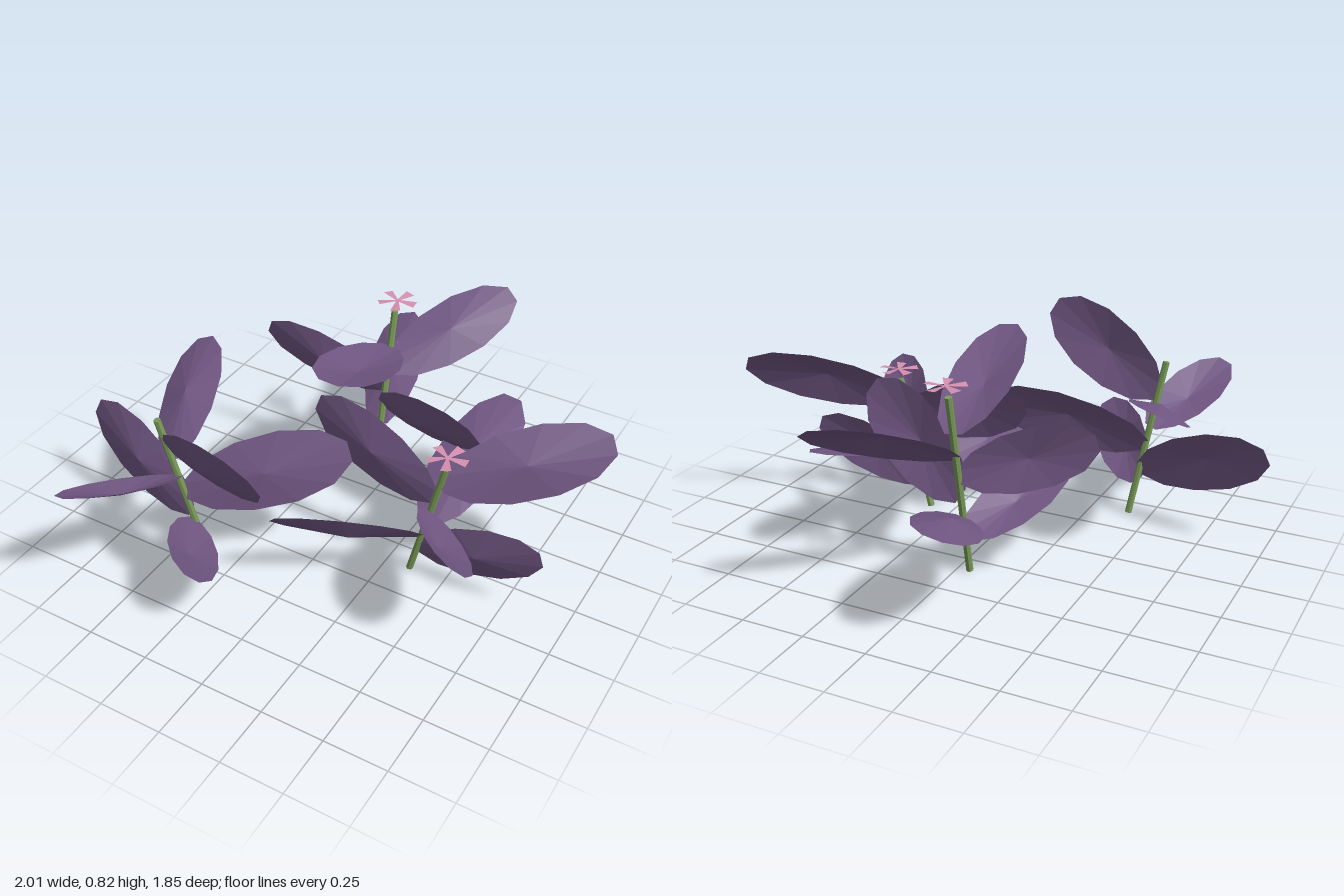
import * as THREE from 'three';

const leafMat = new THREE.MeshStandardMaterial({ color: 0x715783, flatShading: true, side: THREE.DoubleSide });
const stemMat = new THREE.MeshStandardMaterial({ color: 0x7a9c58, flatShading: true });
const petalMat = new THREE.MeshStandardMaterial({ color: 0xd690b0, flatShading: true, side: THREE.DoubleSide });
const UP = new THREE.Vector3(0, 1, 0);

// Leaf blade: a thin fan in the xy plane, its centre pushed out to +z, slimmer towards its base at -y
const leafGeo = new THREE.CircleGeometry(1, 12, Math.PI / 12);
const leafPos = leafGeo.attributes.position;
leafPos.setZ(0, 1);
for (let i = 0; i < leafPos.count; i++) {
  leafPos.setX(i, leafPos.getX(i) * (1 + 0.08 * leafPos.getY(i)));
}

// Wedge petal, narrow at the flower's centre
const petalShape = new THREE.Shape([
  new THREE.Vector2(0, -0.004), new THREE.Vector2(0.076, -0.02),
  new THREE.Vector2(0.076, 0.02), new THREE.Vector2(0, 0.004),
]);
const petalGeo = new THREE.ShapeGeometry(petalShape).rotateX(-Math.PI / 2);

// Each plant: stem foot and top; leaves as [height on stem, tip x, tip y, tip z], lowest first
const plants = [
  {
    foot: [-0.41, 0, 0.4], top: [-0.51, 0.64, 0.49],
    leaves: [
      [0.14, -0.14, 0.3, 0.83], [0.19, -0.99, 0.4, 0.28], [0.29, 0.11, 0.51, 0.15],
      [0.37, -0.63, 0.53, 0.92], [0.45, -0.69, 0.63, -0.07], [0.51, 0.08, 0.73, 0.73],
    ],
  },
  {
    foot: [0.35, 0, 0.1], top: [0.48, 0.54, 0.1], flower: [0.48, 0.585, 0.09],
    leaves: [
      [0.12, 0.88, 0.28, 0.1], [0.18, -0.03, 0.36, 0.48], [0.25, 0.46, 0.46, -0.54],
      [0.32, 0.73, 0.47, 0.5], [0.39, -0.12, 0.56, 0], [0.46, 0.99, 0.63, -0.23],
    ],
  },
  {
    foot: [-0.05, 0, -0.33], top: [-0.045, 0.74, -0.47], flower: [-0.04, 0.785, -0.48],
    leaves: [
      [0.15, -0.25, 0.33, 0.1], [0.24, -0.22, 0.44, -0.92], [0.33, 0.5, 0.57, -0.09],
      [0.41, -0.54, 0.6, -0.31], [0.49, 0.28, 0.7, -0.89], [0.59, 0.035, 0.81, 0.18],
    ],
  },
];

// Mesh centred between two points, its y axis turned the shortest way onto the line
function span(geometry, material, a, b, name) {
  const mesh = new THREE.Mesh(geometry, material);
  mesh.name = name;
  mesh.position.copy(a).lerp(b, 0.5);
  mesh.quaternion.setFromUnitVectors(UP, b.clone().sub(a).normalize());
  return mesh;
}

function createPlant({ foot, top, flower, leaves }) {
  const plant = new THREE.Group();
  plant.name = 'plant';
  const a = new THREE.Vector3(...foot), b = new THREE.Vector3(...top);
  const stemGeo = new THREE.CylinderGeometry(0.014, 0.014, a.distanceTo(b), 7);
  plant.add(span(stemGeo, stemMat, a, b, 'stem'));

  // Leaves spiral up the stem
  for (const [height, x, y, z] of leaves) {
    const base = a.clone().lerp(b, height / b.y);
    const tip = new THREE.Vector3(x, y, z);
    const length = base.distanceTo(tip);
    const leaf = span(leafGeo, leafMat, base, tip, 'leaf');
    leaf.scale.set(length * 0.21, length * 0.515, 0.035);
    plant.add(leaf);
  }

  // Five-petalled flower just above the stem
  if (flower) {
    const bloom = new THREE.Group();
    bloom.name = 'flower';
    bloom.position.set(...flower);
    for (let i = 0; i < 5; i++) {
      const petal = new THREE.Mesh(petalGeo, petalMat);
      petal.name = 'petal';
      petal.rotation.set(0.1, 0.06 + (i * Math.PI * 2) / 5, 0, 'YXZ');
      bloom.add(petal);
    }
    plant.add(bloom);
  }
  return plant;
}

export function createModel() {
  const model = new THREE.Group();
  model.name = 'purpleLeafPlants';
  for (const p of plants) model.add(createPlant(p));
  return model;
}
